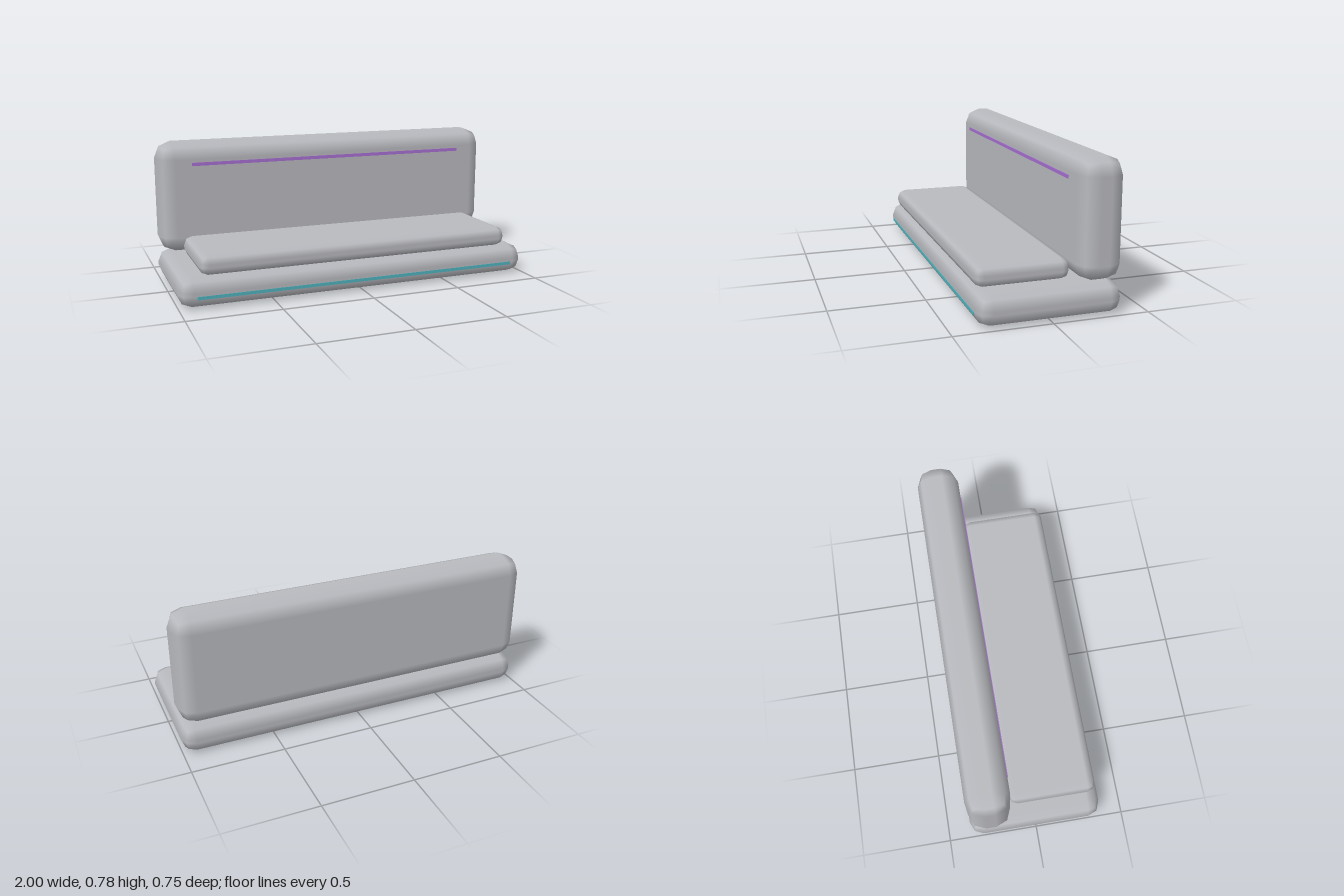
import * as THREE from 'three';
import { RoundedBoxGeometry } from 'three/addons/geometries/RoundedBoxGeometry.js';

const material = (name, color) => {
  const m = new THREE.MeshStandardMaterial({ color });
  m.name = name;
  return m;
};

export function createModel() {
  const group = new THREE.Group();
  group.name = 'bench';
  const grey = material('upholstery grey', 0xb9babf);
  const purple = material('purple trim', 0xa56fd0);
  const teal = material('teal trim', 0x4fb3bd);

  const add = (name, geometry, mat, x, y, z) => {
    const mesh = new THREE.Mesh(geometry, mat);
    mesh.name = name;
    mesh.position.set(x, y, z);
    group.add(mesh);
  };

  // Padded slabs with a coarse, two-facet rounded edge
  const slab = (name, w, [y0, y1], [z0, z1], radius) =>
    add(name, new RoundedBoxGeometry(w, y1 - y0, z1 - z0, 1, radius), grey,
      0, (y0 + y1) / 2, (z0 + z1) / 2);

  slab('base', 2, [0, 0.1645], [-0.373, 0.371], 0.0725);
  slab('seatCushion', 1.772, [0.1645, 0.274], [-0.137, 0.352], 0.0455);
  slab('backrest', 2, [0.1645, 0.7825], [-0.373, -0.139], 0.09);

  // Thin trim strips set into the front faces
  add('backrestTrim', new THREE.BoxGeometry(1.634, 0.018, 0.009), purple, 0, 0.665, -0.139);
  add('baseTrim', new THREE.BoxGeometry(1.82, 0.017, 0.009), teal, 0, 0.065, 0.369);

  return group;
}
